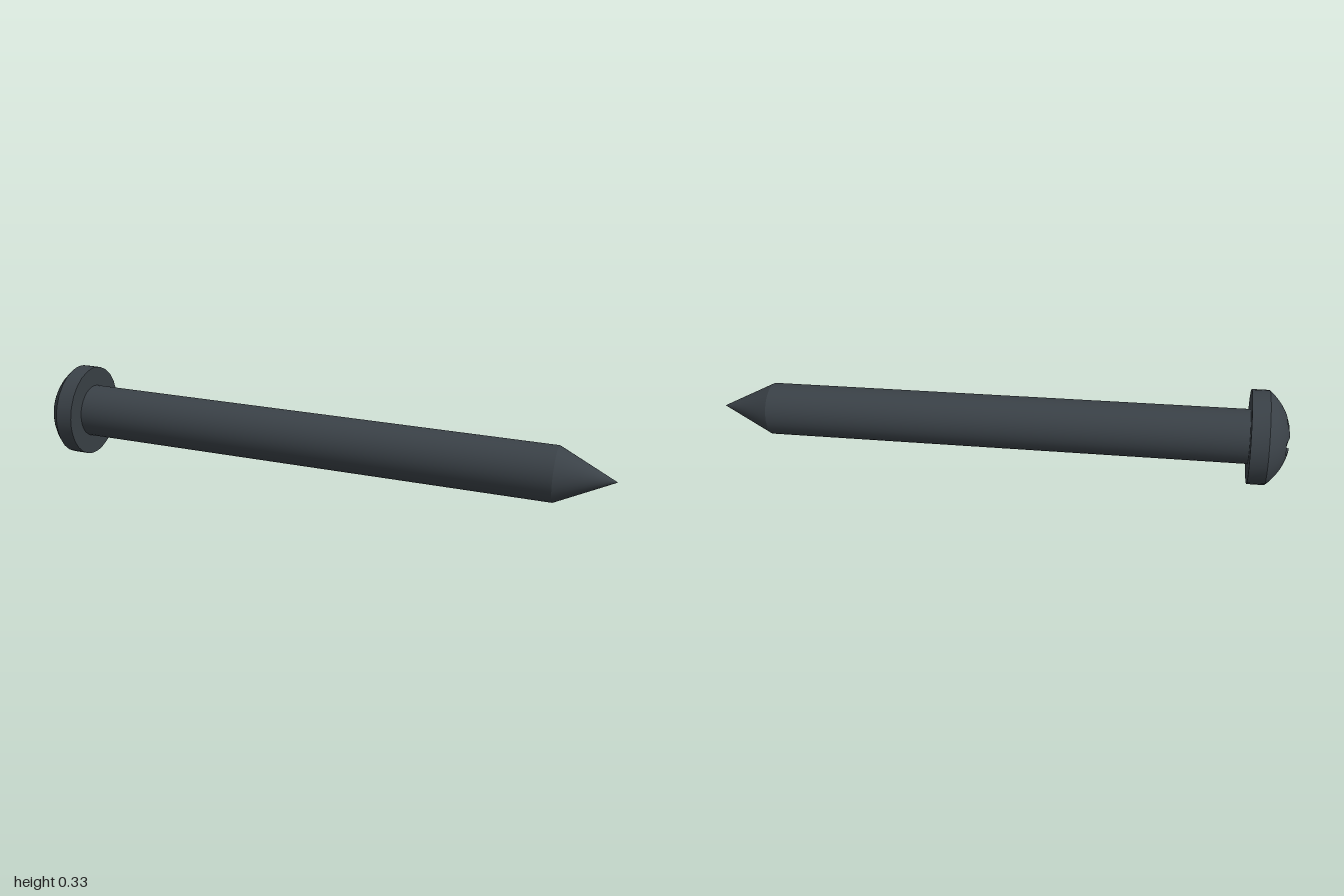
import * as THREE from 'three';
import { toCreasedNormals } from 'three/addons/utils/BufferGeometryUtils.js';

const SHAFT_R = 0.0945, SHAFT_LEN = 1.716, TIP_LEN = 0.195;
const HEAD_R = 0.163, FLANGE = 0.06, DOME = 0.077;
const ARM_LEN = 0.08, ARM_HALF = 0.024;

// Spherical dome height at a radius
const sphereR = (HEAD_R ** 2 + DOME ** 2) / (2 * DOME);
const domeY = r => FLANGE + DOME - sphereR + Math.sqrt(sphereR ** 2 - r ** 2);

// Radius of the cross-shaped recess at an angle
function crossRadius(a) {
  const c = Math.abs(Math.cos(a)), s = Math.abs(Math.sin(a));
  const big = Math.max(c, s), small = Math.min(c, s);
  return Math.min(ARM_LEN / big, ARM_HALF / Math.max(small, 1e-6));
}

// Head skin: underside, rim, dome, recess walls and recess floor as rings
function headGeometry() {
  const corner = Math.atan2(ARM_HALF, ARM_LEN), angles = [];
  for (let q = 0; q < 4; q++) {
    for (const t of [-corner, -corner / 2, 0, corner / 2, corner, 0.54, Math.PI / 4, Math.PI / 2 - 0.54]) {
      angles.push(t + q * Math.PI / 2);
    }
  }
  const rings = [];
  const ring = (radius, height) => rings.push(angles.map(a => {
    const r = radius(a);
    return [r * Math.cos(a), height(r), r * Math.sin(a)];
  }));
  ring(() => 0.08, () => 0);
  ring(() => HEAD_R, () => 0);
  const steps = 7;
  for (let k = 0; k <= steps; k++) {
    ring(a => THREE.MathUtils.lerp(HEAD_R, crossRadius(a), k / steps), domeY);
  }
  ring(a => crossRadius(a) * 0.75, () => 0.065);
  ring(() => 0, () => 0.055);

  const pos = [], n = angles.length;
  for (let i = 0; i < rings.length - 1; i++) {
    for (let j = 0; j < n; j++) {
      const a = rings[i], b = rings[i + 1], k = (j + 1) % n;
      pos.push(...a[j], ...b[k], ...a[k]);
      if (i < rings.length - 2) pos.push(...a[j], ...b[j], ...b[k]);
    }
  }
  const geo = new THREE.BufferGeometry();
  geo.setAttribute('position', new THREE.Float32BufferAttribute(pos, 3));
  return toCreasedNormals(geo, 0.5);
}

export function createModel() {
  const steel = new THREE.MeshStandardMaterial({ color: 0x3a4147 });
  steel.name = 'dark steel';

  const model = new THREE.Group();
  model.name = 'screw';
  // Parts are built along +y, then laid along the x axis
  const add = (name, geo) => {
    const mesh = new THREE.Mesh(geo.rotateZ(-Math.PI / 2), steel);
    mesh.name = name;
    model.add(mesh);
  };

  add('shaft', new THREE.CylinderGeometry(SHAFT_R, SHAFT_R, SHAFT_LEN, 32, 1, true)
    .translate(0, SHAFT_LEN / 2, 0));
  add('tip', new THREE.ConeGeometry(SHAFT_R, TIP_LEN, 32, 4, true)
    .translate(0, SHAFT_LEN + TIP_LEN / 2, 0));
  add('head', headGeometry().rotateX(Math.PI));

  // Lay the screw so its rim and the end of its shaft rest on the ground
  const seat = new THREE.Vector3(-0.867, 0.165, -0.147);
  const point = new THREE.Vector3(1, 0.095, 0.255);
  model.quaternion.setFromUnitVectors(new THREE.Vector3(1, 0, 0), point.sub(seat).normalize());
  model.position.copy(seat);

  const root = new THREE.Group();
  root.add(model);
  return root;
}
